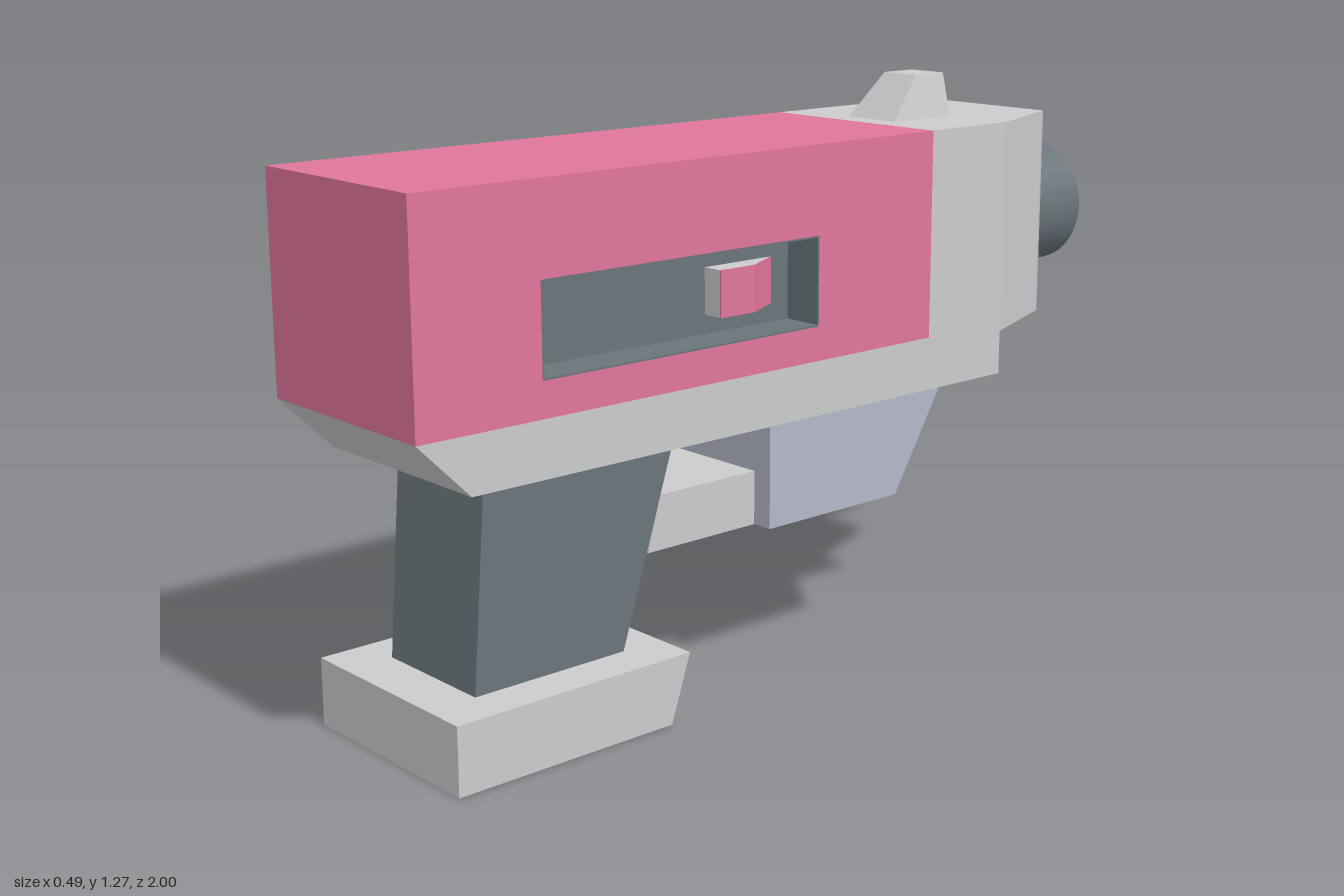
import * as THREE from 'three';

const mat = (color, side = THREE.FrontSide) => new THREE.MeshStandardMaterial({ color, side });
const grey = mat(0xcccccc);
const pink = mat(0xe0769a);
const slate = mat(0x6a757b);
const slateOpen = mat(0x6a757b, THREE.DoubleSide);
const blue = mat(0xb4b8c8);

const HALF = 0.243;      // half width of the body
const RECESS = 0.095;    // depth of the side slots

export function createModel() {
  const model = new THREE.Group();

  const add = (name, geometry, material, parent = model) => {
    const mesh = new THREE.Mesh(geometry, material);
    mesh.name = name;
    parent.add(mesh);
    return mesh;
  };

  const shapeOf = (pts) => new THREE.Shape(pts.map(([a, b]) => new THREE.Vector2(a, b)));
  const rect = (z0, y0, z1, y1) => [[z0, y0], [z1, y0], [z1, y1], [z0, y1]];

  // Side outline [z, y], extruded across x from x0 to x1, with an optional hole
  const across = (pts, x0, x1, hole) => {
    const shape = shapeOf(pts);
    if (hole) shape.holes.push(shapeOf(hole));
    return new THREE.ExtrudeGeometry(shape, { depth: x1 - x0, bevelEnabled: false })
      .rotateY(-Math.PI / 2).translate(x1, 0, 0);
  };

  // Plan outline [x, z], extruded up from y0 to y1
  const upward = (pts, y0, y1) =>
    new THREE.ExtrudeGeometry(shapeOf(pts), { depth: y1 - y0, bevelEnabled: false })
      .rotateX(Math.PI / 2).translate(0, y1, 0);

  // Receiver: core slab with a slotted plate on each side
  const inner = HALF - RECESS;
  const outline = rect(-0.365, 0.71, 1, 1.172);
  const slot = rect(-0.02, 0.785, 0.71, 0.98);
  const lining = rect(-0.016, 0.789, 0.706, 0.976);
  add('receiverCore', across(outline, -inner, inner), pink);

  for (const s of [1, -1]) {
    const side = new THREE.Group();
    side.name = s > 0 ? 'leftSide' : 'rightSide';
    model.add(side);
    const span = (a, b) => (s > 0 ? [a, b] : [-b, -a]);
    add('sidePlate', across(outline, ...span(inner, HALF), slot), pink, side);
    add('slotLining', across(slot, ...span(inner, HALF), lining), slate, side);
    add('slotFloor', across(slot, ...span(inner, inner + 0.003)), slate, side);

    // Lever in the slot: grey block with a coloured, sloping face
    const x = (v) => s * v;
    const tip = inner + 0.05;
    add('lever', upward([[x(inner), 0.22], [x(tip), 0.22], [x(tip), 0.125], [x(inner), 0.03]],
      0.83, 0.93), grey, side);
    add('leverFace', upward([[x(tip - 0.001), 0.22], [x(tip + 0.003), 0.22], [x(tip + 0.003), 0.124],
      [x(inner), 0.027], [x(inner), 0.03], [x(tip - 0.001), 0.126]], 0.83, 0.93), pink, side);
  }

  // Frame below and behind the receiver
  add('frame', across([[1, 0.71], [0.88, 0.59], [-0.605, 0.59], [-0.605, 1.172],
    [-0.365, 1.172], [-0.365, 0.71]], -HALF, HALF), grey);

  // Tapered nose with its end plate
  add('nose', upward([[-HALF, -0.605], [HALF, -0.605], [0.147, -0.848], [-0.147, -0.848]],
    0.69, 1.172), grey);
  add('nosePlate', across(rect(-0.851, 0.69, -0.848, 1.172), -0.147, 0.147), blue);

  // Hollow barrel
  const barrel = new THREE.Group();
  barrel.name = 'barrel';
  barrel.position.set(0, 0.93, -0.925);
  model.add(barrel);
  const tube = (r) => new THREE.CylinderGeometry(r, r, 0.15, 48, 1, true).rotateX(Math.PI / 2);
  add('barrelOuter', tube(0.146), slate, barrel);
  add('barrelBore', tube(0.075), slateOpen, barrel);
  add('muzzleRing', new THREE.RingGeometry(0.075, 0.146, 48).rotateY(Math.PI)
    .translate(0, 0, -0.075), grey, barrel);
  add('boreEnd', new THREE.CircleGeometry(0.075, 48).rotateY(Math.PI)
    .translate(0, 0, 0.071), slate, barrel);

  // Sight: a box whose top is narrowed and shortened
  const sight = new THREE.BoxGeometry(0.146, 0.1, 0.185).toNonIndexed();
  const p = sight.attributes.position;
  for (let i = 0; i < p.count; i++) {
    if (p.getY(i) < 0) continue;
    p.setX(i, Math.sign(p.getX(i)) * 0.049);
    if (p.getZ(i) > 0) p.setZ(i, 0);
  }
  sight.computeVertexNormals();
  add('sight', sight, grey).position.set(0, 1.22, -0.5125);

  // Grip, its base, and the lower block joined by a bar
  add('grip', across([[0.785, 0.59], [0.82, 0.145], [0.445, 0.145], [0.3, 0.59]], -0.147, 0.147), slate);
  add('gripBase', across([[0.93, 0], [0.93, 0.147], [0.345, 0.147], [0.395, 0]], -HALF, HALF), grey);
  add('lowerBlock', across([[0.075, 0.59], [0.075, 0.345], [-0.315, 0.345], [-0.465, 0.59]],
    -0.195, 0.195), blue);
  add('guardBar', across([[0.075, 0.345], [0.375, 0.345], [0.34, 0.465], [0.075, 0.465]],
    -0.146, 0.146), grey);

  return model;
}
